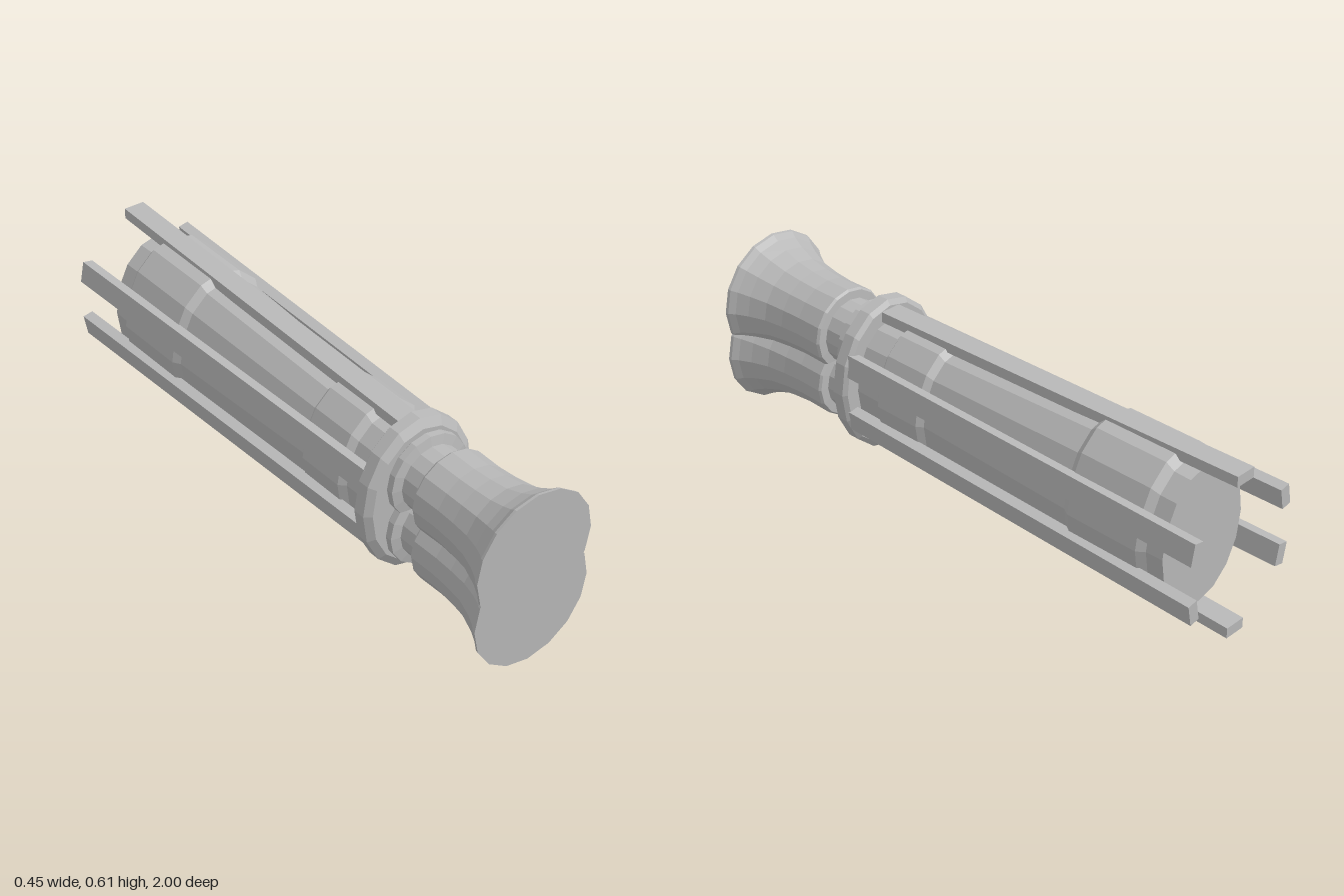
import * as THREE from 'three';

const CENTRE_Y = 0.307;
const grey = new THREE.MeshStandardMaterial({ color: 0xb8b8b8, flatShading: true });
grey.name = 'plain grey';

// Sixteen-sided turned solid along z; profile is [z, radius] from back to front
function turned(name, profile, yStretch, y) {
  const points = profile.map(([z, r]) => new THREE.Vector2(r, z));
  points.unshift(new THREE.Vector2(0, profile[0][0]));
  points.push(new THREE.Vector2(0, profile[profile.length - 1][0]));
  const geometry = new THREE.LatheGeometry(points, 16);
  geometry.rotateX(Math.PI / 2);
  geometry.scale(1, yStretch, 1);
  const mesh = new THREE.Mesh(geometry, grey);
  mesh.name = name;
  mesh.position.y = y;
  return mesh;
}

// Straight bar leaning outward from front to back; centres are [x, y] from the axis
function bar(name, front, back, tilt) {
  const zFront = 0.45, zBack = -1;
  const geometry = new THREE.BoxGeometry(0.036, 0.073, zFront - zBack);
  geometry.rotateZ(tilt);
  geometry.translate(0, 0, (zFront + zBack) / 2);
  const p = geometry.attributes.position;
  for (let i = 0; i < p.count; i++) {
    const t = (zFront - p.getZ(i)) / (zFront - zBack);
    p.setX(i, p.getX(i) + THREE.MathUtils.lerp(front[0], back[0], t));
    p.setY(i, p.getY(i) + THREE.MathUtils.lerp(front[1], back[1], t));
  }
  geometry.computeVertexNormals();
  const mesh = new THREE.Mesh(geometry, grey);
  mesh.name = name;
  mesh.position.y = CENTRE_Y;
  return mesh;
}

export function createModel() {
  const model = new THREE.Group();
  model.name = 'handle';

  // Two overlapping flared lobes with a narrow neck and a small disc
  const lobe = [
    [0.48, 0.13], [0.505, 0.13], [0.515, 0.142], [0.538, 0.142], [0.545, 0.11],
    [0.625, 0.11], [0.627, 0.138], [0.635, 0.144], [0.73, 0.142], [0.8, 0.147],
    [0.87, 0.157], [0.93, 0.178], [0.97, 0.198], [0.99, 0.213], [1, 0.215],
  ];
  for (const [name, side] of [['upperFlare', 1], ['lowerFlare', -1]]) {
    model.add(turned(name, lobe, 1, CENTRE_Y + side * 0.088));
  }

  // Oval collar
  model.add(turned('collar', [
    [0.435, 0.195], [0.447, 0.208], [0.488, 0.208], [0.505, 0.185],
  ], 1.29, CENTRE_Y));

  // Tapered oval barrel with two raised bands
  model.add(turned('barrel', [
    [-0.86, 0.178], [-0.8, 0.18], [-0.775, 0.199], [-0.51, 0.197], [-0.485, 0.181],
    [0.13, 0.156], [0.15, 0.173], [0.32, 0.172], [0.34, 0.152], [0.44, 0.15],
  ], 1.35, CENTRE_Y));

  // Six bars: top, bottom and two on each side
  for (const s of [1, -1]) {
    const end = s > 0 ? 'top' : 'bottom';
    model.add(bar(end + 'Bar', [0, s * 0.223], [0, s * 0.265], Math.PI / 2));
    for (const x of [1, -1]) {
      const name = (s > 0 ? 'upper' : 'lower') + (x > 0 ? 'Left' : 'Right') + 'Bar';
      model.add(bar(name, [x * 0.165, s * 0.097], [x * 0.2, s * 0.102], x * s * 0.19));
    }
  }
  return model;
}
